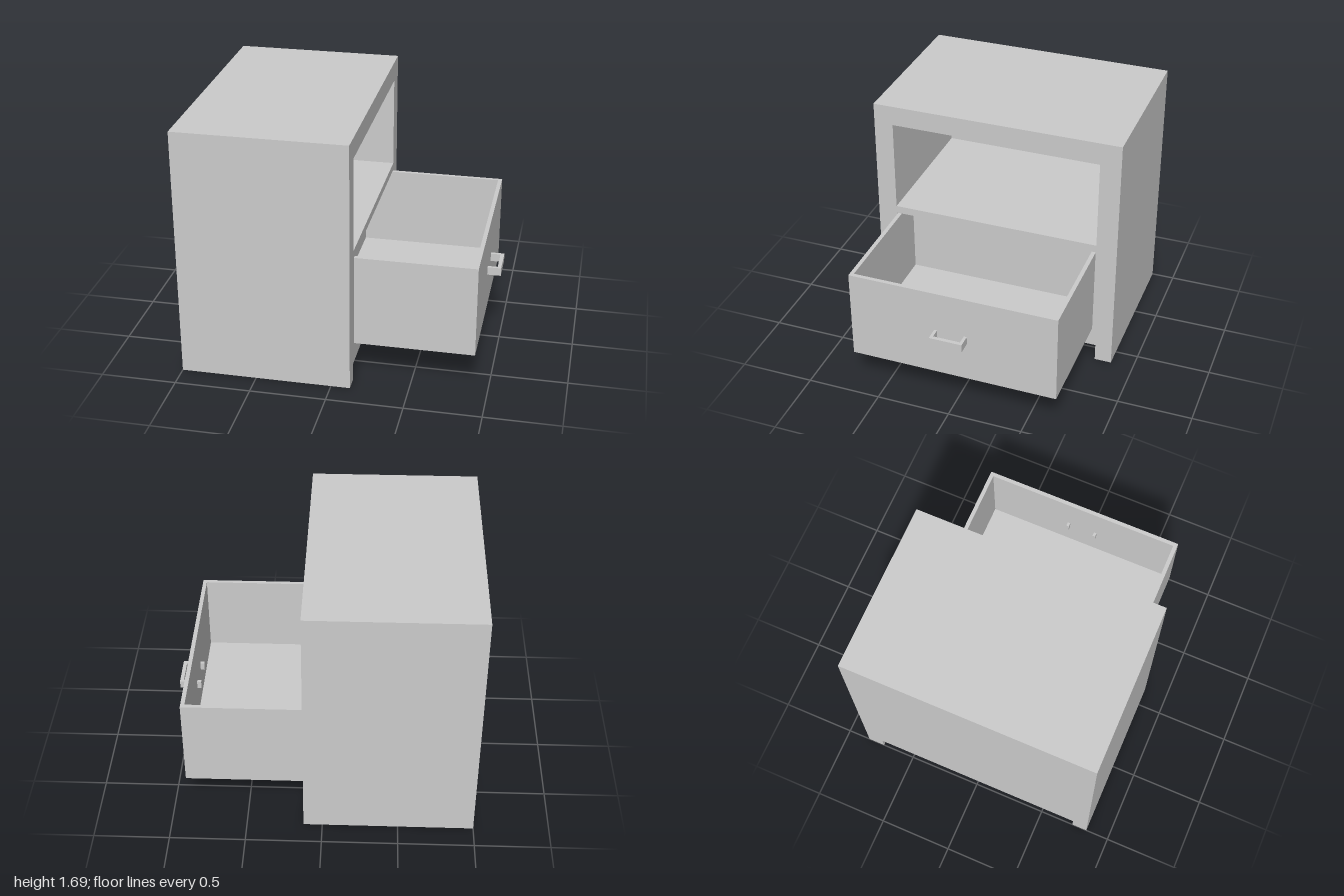
import * as THREE from 'three';

const material = new THREE.MeshStandardMaterial({ color: 0xcccccc });

// Box given by its minimum and maximum corners
function box(name, [x0, y0, z0], [x1, y1, z1]) {
  const mesh = new THREE.Mesh(new THREE.BoxGeometry(x1 - x0, y1 - y0, z1 - z0), material);
  mesh.name = name;
  mesh.position.set((x0 + x1) / 2, (y0 + y1) / 2, (z0 + z1) / 2);
  return mesh;
}

// Cabinet cross-section, drawn in (-z, y), with runners along both sides
function cabinetOutline() {
  return new THREE.Shape([
    [-0.84, 0], [-0.735, 0], [-0.735, 0.12], [0.73, 0.12], [0.73, 0],
    [0.845, 0], [0.845, 1.69], [-0.84, 1.69],
  ].map(([u, y]) => new THREE.Vector2(u, y)));
}

// Rectangular opening, wound opposite to the outline
function opening(u0, y0, u1, y1) {
  return new THREE.Path([[u0, y0], [u0, y1], [u1, y1], [u1, y0]]
    .map(([u, y]) => new THREE.Vector2(u, y)));
}

// Extrude a cross-section along x
function extrudeX(name, shape, x0, x1) {
  const geometry = new THREE.ExtrudeGeometry(shape, { depth: x1 - x0, bevelEnabled: false });
  geometry.rotateY(Math.PI / 2);
  geometry.translate(x0, 0, 0);
  const mesh = new THREE.Mesh(geometry, material);
  mesh.name = name;
  return mesh;
}

export function createModel() {
  const model = new THREE.Group();
  model.name = 'nightstand';

  // Cabinet: carcass with two compartments, closed at the back
  const cabinet = new THREE.Group();
  cabinet.name = 'cabinet';
  const carcass = cabinetOutline();
  carcass.holes.push(opening(-0.71, 0.93, 0.705, 1.555), opening(-0.705, 0.255, 0.702, 0.877));
  cabinet.add(
    extrudeX('carcass', carcass, -0.88, 0.125),
    extrudeX('backPanel', cabinetOutline(), -1, -0.88),
  );

  // Open drawer: floor and four thin walls
  const drawer = new THREE.Group();
  drawer.name = 'drawer';
  const [back, front, bottom, floor, top] = [-0.095, 0.91, 0.257, 0.33, 0.875];
  const [zMin, zMax, wall] = [-0.702, 0.702, 0.027];
  drawer.add(
    box('drawerFloor', [back, bottom, zMin], [front, floor, zMax]),
    box('drawerBack', [back, floor, zMin], [back + wall, top, zMax]),
    box('drawerFront', [front - wall, floor, zMin], [front, top, zMax]),
    box('drawerRightSide', [back + wall, floor, zMin], [front - wall, top, zMin + wall]),
    box('drawerLeftSide', [back + wall, floor, zMax - wall], [front - wall, top, zMax]),
  );

  // Handle: bar on two posts that pass through the drawer front
  const handle = new THREE.Group();
  handle.name = 'handle';
  handle.add(box('handleBar', [0.975, 0.537, -0.102], [1, 0.592, 0.12]));
  for (const z of [-0.102, 0.1]) {
    handle.add(box('handlePost', [0.855, 0.537, z], [0.975, 0.592, z + 0.02]));
  }
  drawer.add(handle);

  model.add(cabinet, drawer);
  return model;
}
